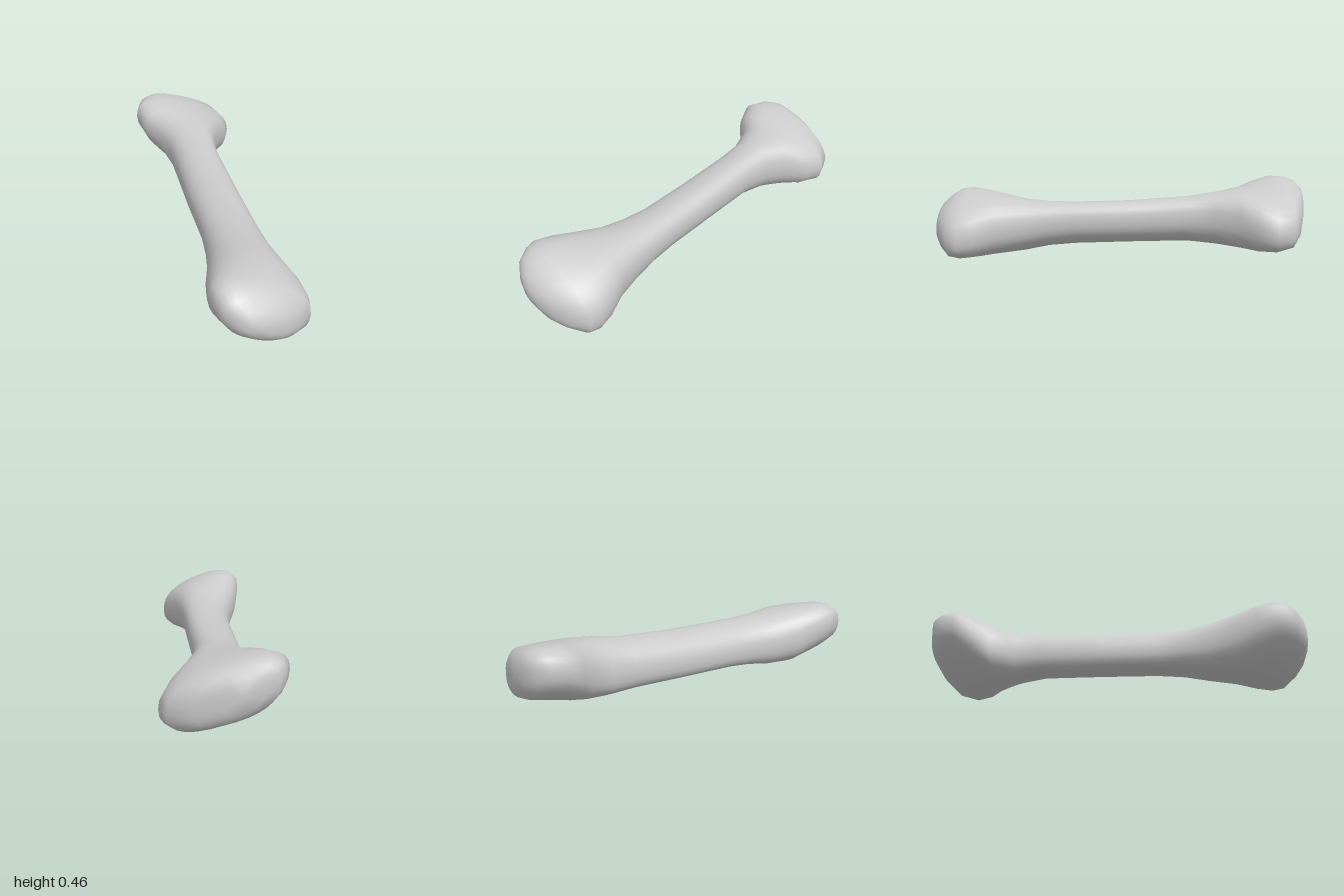
import * as THREE from 'three';

// Cross-sections along the bone: [position, side offset, height, half width, half thickness, slant]
const SECTIONS = [
  // rear head
  [-1.03, 0.05, 0.305, 0.10, 0.085, 0.3],
  [-1.00, 0.025, 0.293, 0.20, 0.125, 0.3],
  [-0.95, -0.015, 0.28, 0.275, 0.147, 0.3],
  [-0.86, -0.015, 0.27, 0.307, 0.157, 0.29],
  [-0.76, -0.012, 0.255, 0.268, 0.165, 0.22],
  [-0.67, -0.015, 0.243, 0.19, 0.165, 0.08],
  // shaft
  [-0.54, 0.0, 0.234, 0.144, 0.15, -0.12],
  [-0.38, 0.015, 0.226, 0.132, 0.129, -0.18],
  [-0.05, 0.018, 0.207, 0.137, 0.121, -0.18],
  [0.27, 0.018, 0.195, 0.139, 0.122, -0.17],
  [0.42, 0.025, 0.188, 0.15, 0.131, -0.12],
  [0.56, 0.034, 0.179, 0.17, 0.15, -0.05],
  // front head
  [0.71, 0.044, 0.184, 0.208, 0.17, 0.07],
  [0.82, 0.037, 0.188, 0.243, 0.169, 0.22],
  [0.91, 0.037, 0.19, 0.257, 0.162, 0.31],
  [0.97, 0.038, 0.19, 0.242, 0.15, 0.34],
  [1.03, 0.065, 0.19, 0.188, 0.12, 0.35],
  [1.07, 0.075, 0.19, 0.125, 0.085, 0.35],
  [1.09, 0.09, 0.19, 0.06, 0.045, 0.35],
];

// Rounds a ring towards a soft rectangle
const soften = (v) => Math.sign(v) * Math.abs(v) ** (2 / 2.4);

// Closed skin through slanted rings, with a point at each end
function loft(sections, sides) {
  const pos = [], index = [];
  for (const [s, offset, height, w, h, slant] of sections) {
    for (let j = 0; j < sides; j++) {
      const a = (j / sides) * Math.PI * 2;
      const t = w * soften(Math.cos(a));
      pos.push(s, height + slant * t + h * soften(Math.sin(a)), offset + t);
    }
  }
  const first = sections[0], last = sections[sections.length - 1];
  const tipA = sections.length * sides, tipB = tipA + 1;
  pos.push(first[0] - 0.012, first[2], first[1]);
  pos.push(last[0] + 0.008, last[2], last[1]);

  for (let j = 0; j < sides; j++) {
    const n = (j + 1) % sides;
    for (let i = 0; i < sections.length - 1; i++) {
      const a = i * sides + j, b = i * sides + n;
      index.push(a, a + sides, b, b, a + sides, b + sides);
    }
    const end = (sections.length - 1) * sides;
    index.push(tipA, j, n, tipB, end + n, end + j);
  }
  const geo = new THREE.BufferGeometry();
  geo.setAttribute('position', new THREE.Float32BufferAttribute(pos, 3));
  geo.setIndex(index);
  geo.computeVertexNormals();
  return geo;
}

export function createModel() {
  const group = new THREE.Group();
  group.name = 'bone';
  const bone = new THREE.Mesh(
    loft(SECTIONS, 28),
    new THREE.MeshStandardMaterial({ color: 0xcccccc })
  );
  bone.name = 'shaftWithHeads';
  // the bone lies diagonally on the ground
  bone.rotation.y = -0.415;
  group.add(bone);
  return group;
}
